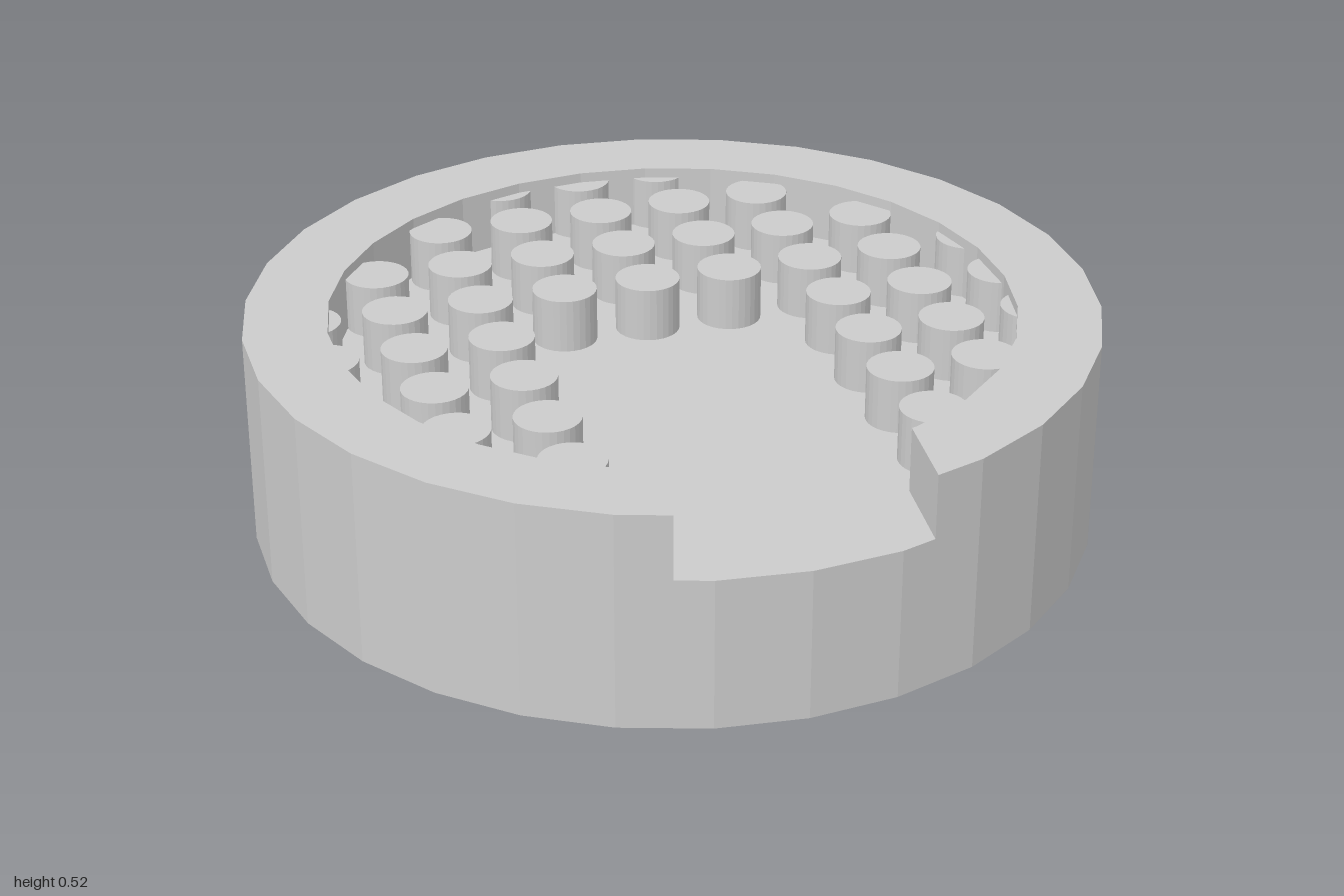
import * as THREE from 'three';

const SIDES = 30;
const HEIGHT = 0.52, FLOOR = 0.365, PIN_TOP = 0.495;
const OUTER = 1, INNER = 0.805, PITCH = 0.206, PIN_RADIUS = 0.077;

export function createModel() {
  const group = new THREE.Group();
  const material = new THREE.MeshStandardMaterial({ color: 0xcccccc, flatShading: true });
  const add = (name, geometry, parent = group) => {
    const mesh = new THREE.Mesh(geometry, material);
    mesh.name = name;
    parent.add(mesh);
    return mesh;
  };

  // Solid base with a blind hole in its underside
  const profile = [[0, 0.21], [0.233, 0.21], [0.233, 0], [OUTER, 0], [OUTER, FLOOR], [0, FLOOR]]
    .map(([x, y]) => new THREE.Vector2(x, y));
  add('base', new THREE.LatheGeometry(profile, SIDES));

  // Raised rim, open at the front; the notch narrows slightly outwards
  const ringPoint = (r, k) => {
    const a = (k / SIDES) * Math.PI * 2;
    return new THREE.Vector2(r * Math.sin(a), -r * Math.cos(a));
  };
  const outline = [new THREE.Vector2(0.29, -0.952)];
  for (let k = 2; k <= SIDES - 2; k++) outline.push(ringPoint(OUTER, k));
  outline.push(new THREE.Vector2(-0.29, -0.952), new THREE.Vector2(-0.312, -0.74));
  for (let k = SIDES - 2; k >= 2; k--) outline.push(ringPoint(INNER, k));
  outline.push(new THREE.Vector2(0.312, -0.74));
  const rim = new THREE.ExtrudeGeometry(new THREE.Shape(outline), {
    depth: HEIGHT - FLOOR, bevelEnabled: false,
  });
  rim.rotateX(-Math.PI / 2).translate(0, FLOOR, 0);
  add('rim', rim);

  // Grid of pins, with a clear lane from the centre to the notch;
  // the outermost pins merge into the rim
  const pins = new THREE.Group();
  pins.name = 'pins';
  group.add(pins);
  const pinGeometry = new THREE.CylinderGeometry(PIN_RADIUS, PIN_RADIUS, PIN_TOP - FLOOR, SIDES);
  for (let i = -4; i <= 4; i++) {
    for (let j = -4; j <= 4; j++) {
      const inLane = Math.abs(i) <= 1 && j >= 0;
      if (inLane || Math.hypot(i, j) * PITCH > 0.86) continue;
      add('pin', pinGeometry, pins).position.set(i * PITCH, (FLOOR + PIN_TOP) / 2, j * PITCH);
    }
  }
  return group;
}
